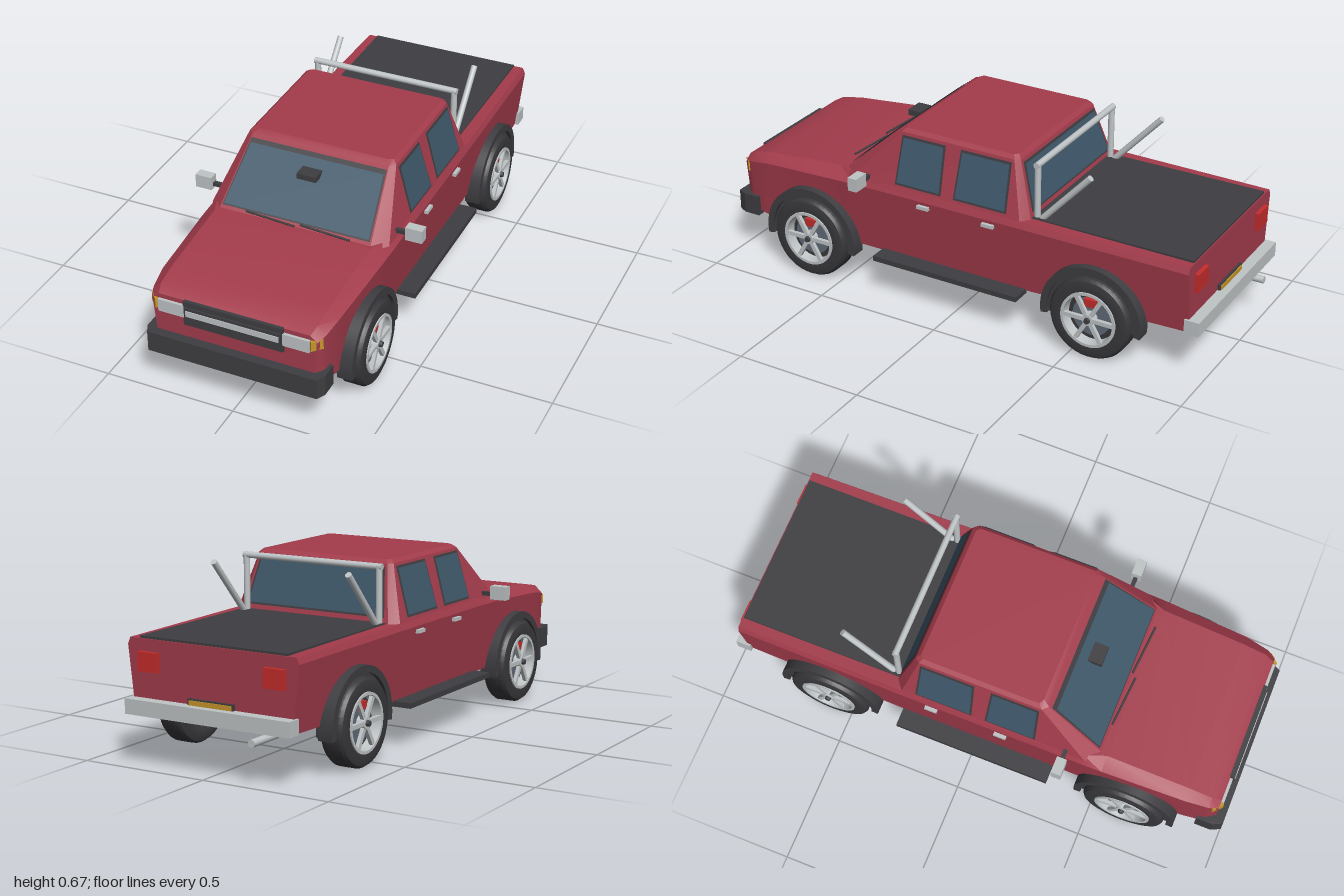
import * as THREE from 'three';
import { toCreasedNormals } from 'three/addons/utils/BufferGeometryUtils.js';

const make = (name, color, side = THREE.FrontSide) => {
  const m = new THREE.MeshStandardMaterial({ color, side });
  m.name = name;
  return m;
};

export function createModel() {
  const paint = make('red paint', 0xa43c4c);
  const trim = make('dark trim', 0x3e3e42, THREE.DoubleSide);
  const rubber = make('tyre rubber', 0x38383c);
  const glass = make('blue glass', 0x3f586a, THREE.DoubleSide);
  const silver = make('silver metal', 0xbfc4c6);
  const steel = make('brake steel', 0x606b78);
  const lampRed = make('red lamp', 0xc42c2c);
  const amber = make('amber', 0xc8962a);

  const model = new THREE.Group();
  model.name = 'pickupTruck';

  const add = (name, geo, mat, pos = [0, 0, 0], parent = model) => {
    const mesh = new THREE.Mesh(geo, mat);
    mesh.name = name;
    mesh.position.set(...pos);
    parent.add(mesh);
    return mesh;
  };
  // Box given by its min and max on each axis
  const box = (name, mat, [x0, x1], [y0, y1], [z0, z1]) =>
    add(name, new THREE.BoxGeometry(Math.abs(x1 - x0), y1 - y0, z1 - z0), mat,
      [(x0 + x1) / 2, (y0 + y1) / 2, (z0 + z1) / 2]);
  // Round bar between two points
  const bar = (name, mat, a, b, r) => {
    const p = new THREE.Vector3(...a), q = new THREE.Vector3(...b);
    const m = add(name, new THREE.CylinderGeometry(r, r, p.distanceTo(q), 16), mat,
      p.clone().add(q).multiplyScalar(0.5).toArray());
    m.quaternion.setFromUnitVectors(new THREE.Vector3(0, 1, 0), q.sub(p).normalize());
    return m;
  };
  // Thin four-cornered pane
  const pane = (name, mat, pts) => {
    const g = new THREE.BufferGeometry();
    g.setAttribute('position', new THREE.Float32BufferAttribute(pts.flat(), 3));
    g.setIndex([0, 1, 2, 0, 2, 3]);
    g.computeVertexNormals();
    return add(name, g, mat);
  };
  // Closed skin over rings that run counter-clockwise about their direction of travel
  const loft = (rings, crease) => {
    const n = rings[0].length, last = (rings.length - 1) * n, idx = [];
    for (let r = 0; r < rings.length - 1; r++)
      for (let i = 0; i < n; i++) {
        const a = r * n + i, b = r * n + (i + 1) % n;
        idx.push(a, b, b + n, a, b + n, a + n);
      }
    for (let i = 1; i < n - 1; i++) idx.push(0, i + 1, i, last, last + i, last + i + 1);
    const g = new THREE.BufferGeometry();
    g.setAttribute('position', new THREE.Float32BufferAttribute(rings.flat(2), 3));
    g.setIndex(idx);
    return toCreasedNormals(g, crease);
  };

  // Lower body: z, floor y, floor half-width, belt half-width, belt y, top half-width, top y
  const stations = [
    [-0.94, 0.185, 0.325, 0.352, 0.425, 0.342, 0.449],
    [-0.3, 0.168, 0.33, 0.36, 0.43, 0.35, 0.453],
    [0.3, 0.165, 0.33, 0.36, 0.43, 0.35, 0.458],
    [0.44, 0.165, 0.33, 0.36, 0.428, 0.335, 0.464],
    [0.52, 0.165, 0.33, 0.358, 0.425, 0.305, 0.464],
    [0.84, 0.17, 0.33, 0.343, 0.405, 0.3, 0.435],
    [0.93, 0.19, 0.325, 0.33, 0.388, 0.298, 0.418],
    [0.965, 0.22, 0.3, 0.315, 0.375, 0.288, 0.398],
  ];
  add('lowerBody', loft(stations.map(([z, yb, wb, wm, ym, wt, yt]) => [
    [wb, yb, z], [wm, ym, z], [wt, yt, z], [-wt, yt, z], [-wm, ym, z], [-wb, yb, z],
  ]), 0.35), paint);

  // Cabin: four corners of one half, mirrored
  const cabRing = (y, half) => [
    ...half.map(([x, z]) => [x, y, z]),
    ...half.slice().reverse().map(([x, z]) => [-x, y, z]),
  ];
  add('cabin', loft([
    cabRing(0.45, [[0.3, 0.51], [0.35, 0.45], [0.35, -0.275], [0.315, -0.303]]),
    cabRing(0.66, [[0.27, 0.275], [0.29, 0.255], [0.29, -0.22], [0.275, -0.238]]),
    cabRing(0.673, [[0.255, 0.25], [0.275, 0.24], [0.275, -0.21], [0.26, -0.222]]),
  ], 0.3), paint);

  // Windscreen and rear window, each a glass pane over a dark surround
  const screenZ = y => 0.51 - (y - 0.45) * 0.235 / 0.21;
  const rearZ = y => -0.303 + (y - 0.45) * 0.065 / 0.21;
  const crossPane = (name, mat, zAt, off, y0, y1, w0, w1) => pane(name, mat, [
    [-w0, y0, zAt(y0) + off], [w0, y0, zAt(y0) + off], [w1, y1, zAt(y1) + off], [-w1, y1, zAt(y1) + off],
  ]);
  crossPane('windscreenSurround', trim, screenZ, 0.003, 0.474, 0.652, 0.291, 0.268);
  crossPane('windscreen', glass, screenZ, 0.007, 0.48, 0.641, 0.286, 0.262);
  crossPane('rearWindowSurround', trim, rearZ, -0.003, 0.474, 0.648, 0.297, 0.268);
  crossPane('rearWindow', glass, rearZ, -0.006, 0.482, 0.64, 0.288, 0.26);

  // Side windows
  const sideX = y => 0.35 - (y - 0.45) * 0.06 / 0.21;
  const sidePane = (name, mat, s, off, z0, z1, y0, y1) => pane(name, mat,
    [[z0, y0], [z1, y0], [z1 - 0.006, y1], [z0 + 0.006, y1]].map(([z, y]) => [s * (sideX(y) + off), y, z]));

  // Wheel arch strip around a wheel centre
  const arch = (name, s, z, rIn, rOut, x0, x1) => {
    const shape = new THREE.Shape();
    shape.absarc(0, 0, rOut, -0.15, Math.PI + 0.15, false);
    shape.absarc(0, 0, rIn, Math.PI + 0.15, -0.15, true);
    const g = new THREE.ExtrudeGeometry(shape, { depth: x1 - x0, bevelEnabled: false, curveSegments: 28 });
    add(name, g, trim, [s > 0 ? x0 : -x1, 0.16, z]).rotation.y = Math.PI / 2;
  };

  // Wheel parts, turned about y
  const v2 = pts => pts.map(p => new THREE.Vector2(...p));
  const tyreGeo = toCreasedNormals(new THREE.LatheGeometry(v2([
    [0, -0.042], [0.1, -0.042], [0.11, -0.048], [0.135, -0.049], [0.152, -0.044], [0.16, -0.032],
    [0.16, 0.032], [0.152, 0.044], [0.135, 0.049], [0.11, 0.047], [0.106, 0.01], [0, 0.01],
  ]), 40), 0.6);
  const rimGeo = toCreasedNormals(new THREE.LatheGeometry(v2([
    [0.109, 0.04], [0.109, 0.051], [0.098, 0.051], [0.094, 0.011],
  ]), 40), 0.6);
  const wheel = (name, s, z) => {
    const w = new THREE.Group();
    w.name = name;
    w.position.set(s * 0.344, 0.16, z);
    w.rotation.z = -s * Math.PI / 2;
    model.add(w);
    add('tyre', tyreGeo, rubber, [0, 0, 0], w);
    add('rim', rimGeo, silver, [0, 0, 0], w);
    add('brakeDisc', new THREE.CylinderGeometry(0.075, 0.075, 0.012, 32), steel, [0, 0.014, 0], w);
    add('brakeCaliper', new THREE.BoxGeometry(0.03, 0.022, 0.045), lampRed, [-s * 0.06, 0.024, 0], w);
    add('hub', new THREE.CylinderGeometry(0.022, 0.026, 0.03, 20), silver, [0, 0.036, 0], w);
    add('hubCap', new THREE.CylinderGeometry(0.01, 0.012, 0.012, 12), trim, [0, 0.056, 0], w);
    for (let i = 0; i < 6; i++) {
      const a = i * Math.PI / 3;
      add('spoke', new THREE.BoxGeometry(0.016, 0.014, 0.09), silver,
        [Math.sin(a) * 0.056, 0.041, Math.cos(a) * 0.056], w).rotation.y = a;
    }
  };

  // Everything that comes in a left and right pair
  for (const s of [1, -1]) {
    const side = s > 0 ? 'left' : 'right';
    for (const [end, z] of [['Front', 0.628], ['Rear', -0.578]]) {
      wheel(side + end + 'Wheel', s, z);
      arch(side + end + 'Flare', s, z, 0.174, 0.2, 0.32, 0.378);
      arch(side + end + 'WheelWell', s, z, 0.14, 0.18, 0.3, 0.364);
    }
    for (const [z0, z1] of [[0.056, 0.254], [-0.219, 0.004]]) {
      sidePane(side + 'WindowSurround', trim, s, 0.003, z0, z1, 0.468, 0.65);
      sidePane(side + 'Window', glass, s, 0.006, z0 + 0.008, z1 - 0.008, 0.477, 0.642);
    }
    for (const z of [0.123, -0.152])
      box(side + 'DoorHandle', silver, [s * 0.352, s * 0.372], [0.405, 0.418], [z - 0.024, z + 0.024]);
    box(side + 'RunningBoard', trim, [s * 0.32, s * 0.402], [0.153, 0.173], [-0.29, 0.325]);
    box(side + 'MirrorStalk', trim, [s * 0.33, s * 0.39], [0.463, 0.478], [0.365, 0.38]);
    box(side + 'Mirror', silver, [s * 0.385, s * 0.45], [0.452, 0.504], [0.355, 0.393]);
    box(side + 'Headlight', silver, [s * 0.188, s * 0.288], [0.332, 0.381], [0.945, 0.976]);
    add(side + 'Indicator', new THREE.BoxGeometry(0.045, 0.038, 0.012), amber,
      [s * 0.308, 0.362, 0.958]).rotation.y = s * 0.8;
    box(side + 'TailLight', lampRed, [s * 0.218, s * 0.302], [0.335, 0.405], [-0.956, -0.93]);
    // Roll bar leg and brace
    bar(side + 'RollBarPost', silver, [s * 0.284, 0.44, -0.312], [s * 0.284, 0.665, -0.312], 0.012);
    bar(side + 'RollBarBrace', silver, [s * 0.284, 0.445, -0.325], [s * 0.284, 0.66, -0.522], 0.012);
  }
  bar('rollBarTop', silver, [-0.296, 0.66, -0.312], [0.296, 0.66, -0.312], 0.012);

  // Bed cover
  box('bedCover', trim, [-0.304, 0.304], [0.44, 0.457], [-0.935, -0.3]);

  // Grille
  box('grille', trim, [-0.19, 0.19], [0.302, 0.4], [0.94, 0.975]);
  box('grilleFrame', trim, [-0.183, 0.183], [0.333, 0.379], [0.97, 0.981]);
  box('grilleStrip', silver, [-0.177, 0.177], [0.345, 0.368], [0.975, 0.984]);

  // Front bumper with swept corners
  const plan = new THREE.Shape(v2([
    [-0.342, -0.9], [-0.342, -0.965], [-0.325, -1], [0.325, -1], [0.342, -0.965], [0.342, -0.9],
  ]));
  add('frontBumper', new THREE.ExtrudeGeometry(plan, { depth: 0.08, bevelEnabled: false }), trim,
    [0, 0.165, 0]).rotation.x = -Math.PI / 2;

  // Rear bumper, number plate and exhaust
  box('rearBumper', silver, [-0.34, 0.34], [0.185, 0.24], [-0.982, -0.925]);
  box('plateHolder', trim, [-0.095, 0.095], [0.235, 0.262], [-0.95, -0.935]);
  box('numberPlate', amber, [-0.088, 0.088], [0.238, 0.257], [-0.954, -0.948]);
  bar('exhaust', silver, [-0.2, 0.153, -1], [-0.2, 0.153, -0.85], 0.014);

  // Wipers and rear-view mirror
  for (const x of [-0.19, 0.025])
    bar('wiper', trim, [x, 0.478, 0.496], [x + 0.2, 0.478, 0.512], 0.004);
  box('rearViewMirror', trim, [-0.038, 0.038], [0.595, 0.617], [0.335, 0.39]);

  return model;
}
